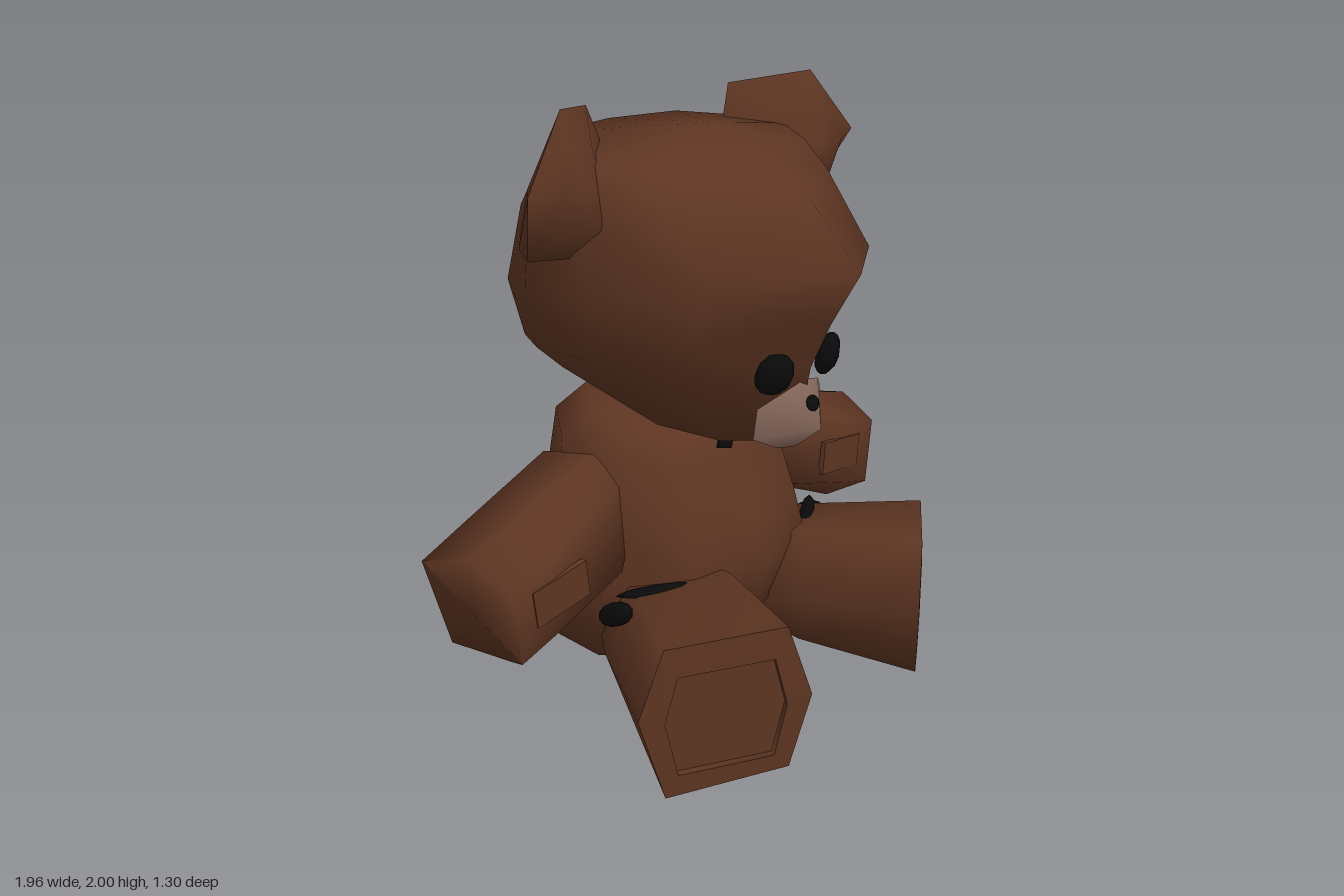
import * as THREE from 'three';
import { toCreasedNormals } from 'three/addons/utils/BufferGeometryUtils.js';

const brown = new THREE.MeshStandardMaterial({ color: 0x5e3522 });
brown.name = 'brownFur';
const tan = new THREE.MeshStandardMaterial({ color: 0x896a5d });
tan.name = 'tanMuzzle';
const black = new THREE.MeshStandardMaterial({ color: 0x0a0a0a });
black.name = 'black';

// Closed skin through rings of [x, y, z] points, with a tip at each end, always facing outward
function loft(start, rings, end, crease) {
  const n = rings[0].length, m = rings.length;
  const points = [start, ...rings.flat(), end];
  const last = points.length - 1;
  const at = (r, i) => 1 + r * n + (i % n);
  const faces = [];
  for (let i = 0; i < n; i++) {
    faces.push([0, at(0, i + 1), at(0, i)]);
    for (let r = 0; r < m - 1; r++) {
      faces.push([at(r, i), at(r, i + 1), at(r + 1, i)]);
      faces.push([at(r, i + 1), at(r + 1, i + 1), at(r + 1, i)]);
    }
    faces.push([last, at(m - 1, i), at(m - 1, i + 1)]);
  }
  const v = points.map((p) => new THREE.Vector3(...p));
  let volume = 0;
  for (const [a, b, c] of faces) volume += v[a].dot(v[b].clone().cross(v[c]));
  if (volume < 0) faces.forEach((f) => f.reverse());
  const g = new THREE.BufferGeometry();
  g.setAttribute('position', new THREE.Float32BufferAttribute(points.flat(), 3));
  g.setIndex(faces.flat());
  return toCreasedNormals(g, crease);
}

// Mirrored halves of a horizontal section, front to back
function fullSection(half) {
  const other = half.slice(1, -1).reverse().map(([x, z]) => [-x, z]);
  return [...half, ...other];
}

// Tilted horizontal ring: front height and depth, back height and depth, half width
function tiltedRing(section, [yf, zf, yb, zb, hw]) {
  return section.map(([x, z]) => {
    const t = (z + 1) / 2;
    return [x * hw, yb + (yf - yb) * t, zb + (zf - zb) * t];
  });
}

export function createModel() {
  const model = new THREE.Group();
  model.name = 'teddyBear';
  const add = (name, geometry, material) => {
    const mesh = new THREE.Mesh(geometry, material);
    mesh.name = name;
    model.add(mesh);
    return mesh;
  };

  // Body
  const bodySection = fullSection([[0, 1], [0.6, 0.82], [0.96, 0.32], [0.96, -0.32], [0.62, -0.84], [0, -1]]);
  const bodyRings = [
    [0.12, 0.0, 0.16, -0.59, 0.36],
    [0.3, 0.2, 0.3, -0.65, 0.49],
    [0.5, 0.26, 0.5, -0.65, 0.48],
    [0.65, 0.23, 0.64, -0.58, 0.43],
    [0.85, 0.14, 0.95, -0.51, 0.41],
    [0.93, 0.11, 1.05, -0.4, 0.33],
  ].map((r) => tiltedRing(bodySection, r));
  add('body', loft([0, 0, -0.25], bodyRings, [0, 1.05, -0.2], 2), brown);

  // Head, pointed at the brow and rounded behind
  const headSection = fullSection([[0, 1], [0.73, 0.6], [1, 0.05], [0.85, -0.5], [0.6, -0.88], [0, -1]]);
  const headRings = [
    [0.95, 0.35, 1.04, -0.38, 0.26],
    [1.2, 0.4, 1.12, -0.55, 0.42],
    [1.35, 0.47, 1.19, -0.58, 0.54],
    [1.52, 0.57, 1.37, -0.65, 0.555],
    [1.75, 0.35, 1.62, -0.57, 0.53],
    [1.8, 0.24, 1.87, -0.43, 0.475],
  ].map((r) => tiltedRing(headSection, r));
  add('head', loft([0, 0.91, 0.12], headRings, [0, 1.9, 0], 2), brown);

  // Muzzle and nose
  const muzzleOutline = [
    [0, 1.16, 0.38], [0.08, 1.14, 0.37], [0.16, 1.09, 0.32], [0.165, 0.99, 0.31], [0.08, 0.945, 0.34],
    [0, 0.93, 0.35], [-0.08, 0.945, 0.34], [-0.165, 0.99, 0.31], [-0.16, 1.09, 0.32], [-0.08, 1.14, 0.37],
  ];
  add('muzzle', loft([0, 1.04, 0.25], [muzzleOutline], [0, 1.01, 0.445], 1.3), tan);
  const nose = add('nose', new THREE.SphereGeometry(0.032, 8, 6), black);
  nose.scale.set(1, 0.8, 0.3);
  nose.rotation.x = -0.4;
  nose.position.set(0, 1.088, 0.411);

  for (const side of [1, -1]) {
    const label = side > 0 ? 'left' : 'right';
    const mirror = (p) => [p[0] * side, p[1], p[2]];
    const sideLoft = (start, rings, end, crease) =>
      loft(mirror(start), rings.map((r) => r.map(mirror)), mirror(end), crease);

    // Eye
    const eye = add(label + 'Eye', new THREE.SphereGeometry(0.069, 8, 6), black);
    eye.scale.z = 0.55;
    eye.rotation.set(0.25, side * 0.4, 0);
    eye.position.set(side * 0.135, 1.205, 0.365);

    // Ear, a thick angled petal: back face, rim, front face
    const earBack = [
      [0.38, 1.95, -0.2], [0.51, 1.93, -0.15], [0.65, 1.78, -0.12],
      [0.62, 1.59, -0.2], [0.5, 1.57, -0.21], [0.34, 1.8, -0.21],
    ];
    const earRim = [
      [0.33, 1.97, -0.2], [0.58, 2.0, -0.05], [0.76, 1.79, 0],
      [0.68, 1.58, -0.1], [0.5, 1.56, -0.08], [0.27, 1.82, -0.18],
    ];
    const earFront = [
      [0.45, 1.88, -0.06], [0.58, 1.89, 0], [0.66, 1.77, 0.03],
      [0.61, 1.66, 0.02], [0.5, 1.66, 0.02], [0.42, 1.77, -0.05],
    ];
    add(label + 'Ear',
      sideLoft([0.5, 1.77, -0.2], [earBack, earRim, earFront], [0.55, 1.76, 0.025], 1.5), brown);

    // Arm with a slanted paw end
    const shoulder = [
      [0.42, 0.82, -0.03], [0.37, 0.9, -0.15], [0.4, 0.85, -0.37],
      [0.42, 0.56, -0.37], [0.45, 0.52, -0.15], [0.45, 0.56, 0.02],
    ];
    const wrist = [
      [0.75, 0.72, 0.025], [0.75, 0.795, -0.13], [0.78, 0.755, -0.315],
      [0.74, 0.43, -0.32], [0.71, 0.41, -0.11], [0.75, 0.47, 0.03],
    ];
    const paw = [
      [0.92, 0.67, 0.03], [0.94, 0.745, -0.12], [0.98, 0.7, -0.29],
      [0.88, 0.38, -0.3], [0.82, 0.36, -0.1], [0.89, 0.43, 0.03],
    ];
    add(label + 'Arm',
      sideLoft([0.15, 0.72, -0.18], [shoulder, wrist, paw], [0.93, 0.56, -0.13], 1.65), brown);
    const pawPad = add(label + 'PawPad', new THREE.BoxGeometry(0.22, 0.12, 0.02), brown);
    pawPad.position.set(side * 0.72, 0.595, 0.022);
    pawPad.rotation.z = side * -0.12;

    // Leg, splayed outward: u runs across the foot, y up, d along the leg
    const place = (u, y, d) => [0.525 + 0.84 * u + 0.54 * d, y, 0.505 - 0.54 * u + 0.84 * d];
    const ring = (outline, d) => outline.map(([u, y]) => place(u, y, d));
    const foot = [[0.27, 0.3], [0.19, 0.525], [-0.19, 0.54], [-0.27, 0.3], [-0.2, 0.06], [0.19, 0.025]];
    const knee = [[0.27, 0.3], [0.17, 0.5], [-0.14, 0.53], [-0.26, 0.33], [-0.15, 0.13], [0.19, 0.1]];
    const hip = [[0.24, 0.3], [0.18, 0.46], [-0.02, 0.48], [-0.08, 0.33], [-0.02, 0.18], [0.18, 0.15]];
    const pad = [[0.19, 0.28], [0.15, 0.43], [-0.15, 0.44], [-0.19, 0.28], [-0.15, 0.11], [0.15, 0.1]];
    add(label + 'Leg', sideLoft(
      place(0.08, 0.3, -0.72),
      [ring(hip, -0.68), ring(knee, -0.4), ring(foot, 0), ring(pad, 0.004), ring(pad, -0.02)],
      place(0, 0.28, -0.02), 1.35), brown);

    // Dark seams at the hip and under the chin
    const hipSeam = add(label + 'HipSeam', new THREE.SphereGeometry(0.06, 8, 6), black);
    hipSeam.scale.set(0.55, 0.65, 1.35);
    hipSeam.rotation.x = -0.5;
    hipSeam.position.set(side * 0.505, 0.44, 0.04);
    const lapSeam = add(label + 'LapSeam', new THREE.SphereGeometry(0.14, 8, 6), black);
    lapSeam.scale.set(1, 0.12, 0.18);
    lapSeam.rotation.y = side * 0.57;
    lapSeam.position.set(side * 0.39, 0.505, 0.12);
    const chinSeam = add(label + 'ChinSeam', new THREE.BoxGeometry(0.07, 0.03, 0.009), black);
    chinSeam.position.set(side * 0.075, 0.905, 0.125);
    chinSeam.rotation.z = side * 0.3;
  }
  return model;
}
